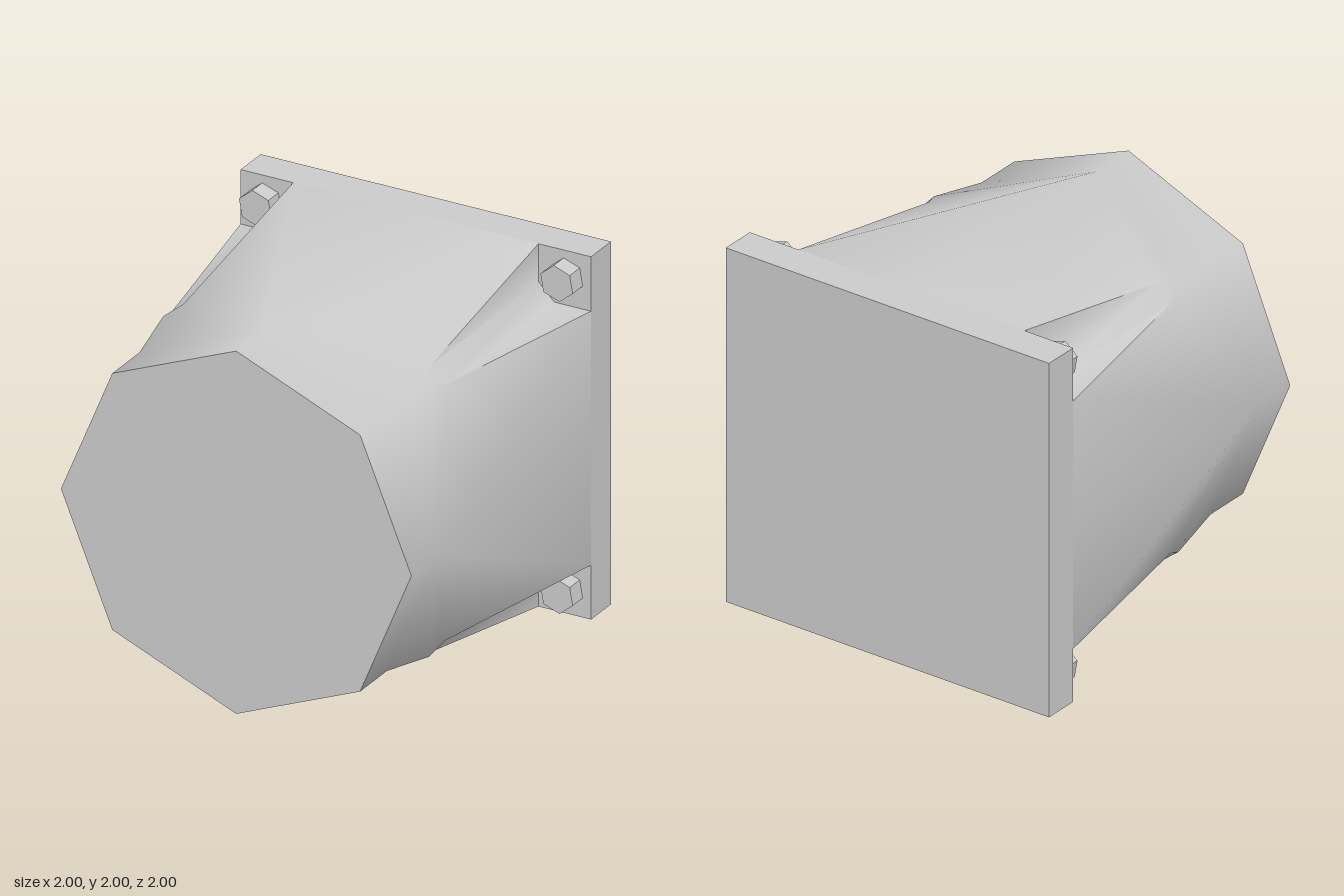
import * as THREE from 'three';
import { toCreasedNormals } from 'three/addons/utils/BufferGeometryUtils.js';

const grey = () => new THREE.MeshStandardMaterial({ color: 0xcccccc });

function addMesh(parent, geometry, name, x, y, z) {
  const mesh = new THREE.Mesh(geometry, grey());
  mesh.name = name;
  mesh.position.set(x, y, z);
  parent.add(mesh);
  return mesh;
}

// Octagonal nose blending into a square back, with a tapered notch at each corner.
function bodyGeometry() {
  const r = Math.SQRT1_2;
  const centre = [0, 0, 1];
  const sideTip = [1, 0, 1], side = [1, 0, 0.73], sideBack = [1, 0, -0.8];
  const cornerTip = [r, r, 1], corner = [r, r, 0.73], notchTip = [0.757, 0.757, 0.4];
  const rim = [1, 0.7, -0.8];
  const floor = [0.79, 0.705, 0.29], floorBack = [0.79, 0.7, -0.8];
  const swap = ([x, y, z]) => [y, x, z];

  // One eighth of the body
  const eighth = [
    [centre, sideTip, cornerTip],
    [sideTip, side, corner], [sideTip, corner, cornerTip],
    [side, sideBack, rim], [side, rim, floor],
    [side, floor, notchTip], [side, notchTip, corner],
    [rim, floorBack, floor],
  ];
  // Chamfered notch floor, which lies across the mirror line
  const notchFloor = [
    [floor, floorBack, swap(floorBack)],
    [floor, swap(floorBack), swap(floor)],
    [floor, swap(floor), notchTip],
  ];
  const mirrored = eighth.map(([a, b, c]) => [swap(a), swap(c), swap(b)]);
  const quarter = [...eighth, ...mirrored, ...notchFloor];

  const positions = [];
  for (let q = 0; q < 4; q++) {
    const c = Math.round(Math.cos(q * Math.PI / 2));
    const s = Math.round(Math.sin(q * Math.PI / 2));
    for (const [x, y, z] of quarter.flat()) positions.push(c * x - s * y, s * x + c * y, z);
  }
  const geometry = new THREE.BufferGeometry();
  geometry.setAttribute('position', new THREE.Float32BufferAttribute(positions, 3));
  return toCreasedNormals(geometry, THREE.MathUtils.degToRad(52));
}

export function createModel() {
  const model = new THREE.Group();
  model.name = 'flangedHousing';

  addMesh(model, bodyGeometry(), 'body', 0, 1, 0);
  addMesh(model, new THREE.BoxGeometry(2, 2, 0.2), 'backPlate', 0, 1, -0.9);

  // Hexagonal bolt heads in the corner notches
  const bolt = new THREE.CylinderGeometry(0.098, 0.098, 0.11, 6);
  bolt.rotateX(Math.PI / 2);
  bolt.rotateZ(THREE.MathUtils.degToRad(10));
  const boltGeometry = toCreasedNormals(bolt, 0.5);
  for (const x of [-0.86, 0.86]) {
    for (const y of [-0.86, 0.86]) {
      const name = (y > 0 ? 'upper' : 'lower') + (x > 0 ? 'Left' : 'Right') + 'Bolt';
      addMesh(model, boltGeometry, name, x, 1 + y, -0.755);
    }
  }
  return model;
}
